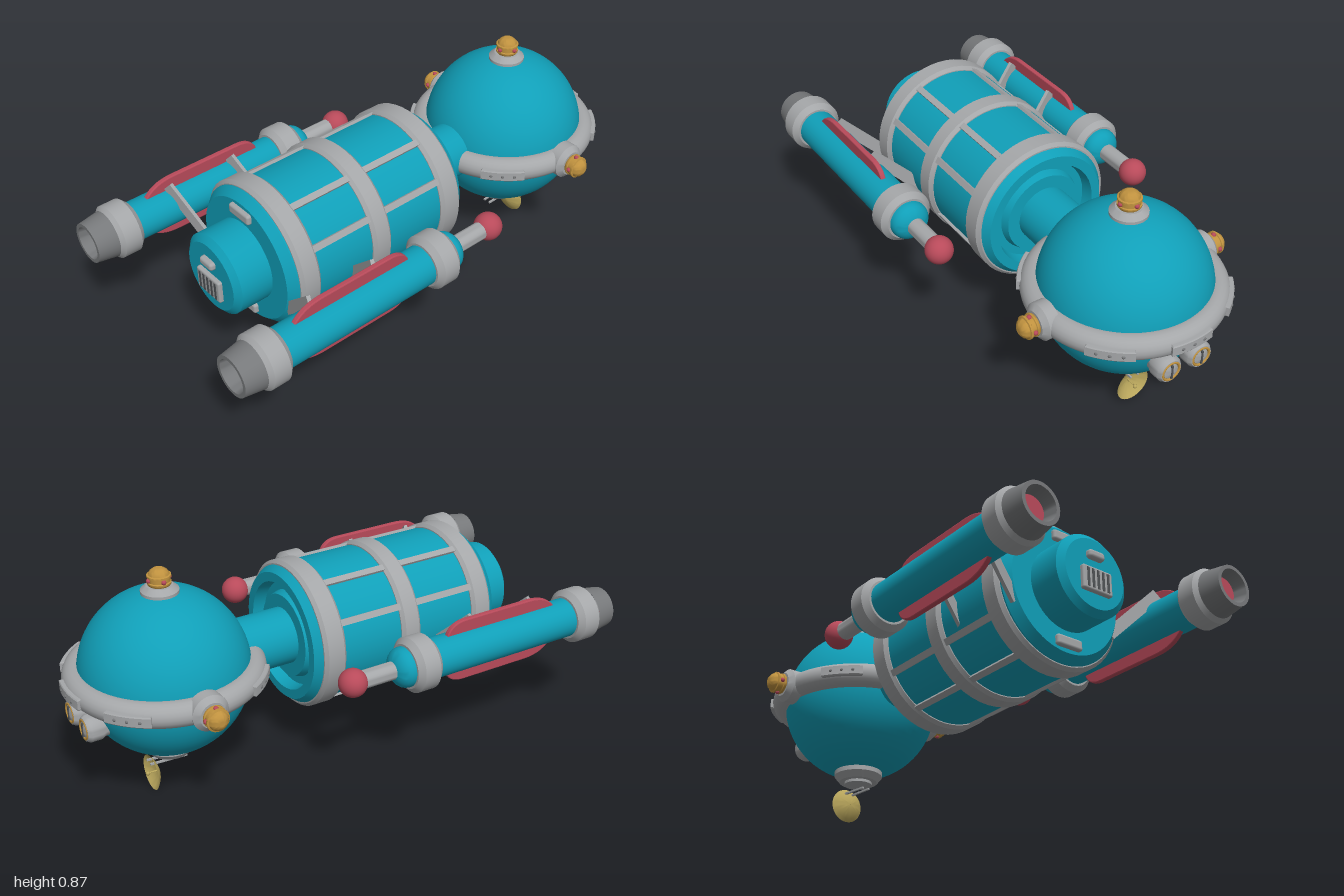
import * as THREE from 'three';
import { toCreasedNormals } from 'three/addons/utils/BufferGeometryUtils.js';
import { RoundedBoxGeometry } from 'three/addons/geometries/RoundedBoxGeometry.js';

const mat = (color, side = THREE.FrontSide) => new THREE.MeshStandardMaterial({ color, side });
const TEAL = mat(0x109fb8), GREY = mat(0xa5a7a9), DARK = mat(0x77797b), RED = mat(0xb84a5a);
const GOLD = mat(0xc0923f), BRASS = mat(0xb9a65c, THREE.DoubleSide), BLACK = mat(0x505356);
const CY = 0.478; // height of the main axis
const BALL_X = 0.63;

function add(parent, name, geometry, material, x = 0, y = 0, z = 0) {
  const mesh = new THREE.Mesh(geometry, material);
  mesh.name = name;
  mesh.position.set(x, y, z);
  parent.add(mesh);
  return mesh;
}

function group(parent, name, x = 0, y = 0, z = 0) {
  const g = new THREE.Group();
  g.name = name;
  g.position.set(x, y, z);
  parent.add(g);
  return g;
}

// Turned shape: [height, radius] pairs, rising along y
function turned(profile, segments = 48) {
  const pts = profile.map(([h, r]) => new THREE.Vector2(r, h));
  return toCreasedNormals(new THREE.LatheGeometry(pts, segments), 0.6);
}

// The same, lying along x
const turnedX = (profile, segments) => turned(profile, segments).rotateZ(-Math.PI / 2);

// Bevelled hoop around x
const hoop = (x0, x1, inner, outer, b = 0.012) => turnedX([
  [x0, inner], [x0, outer - b], [x0 + b, outer], [x1 - b, outer], [x1, outer - b], [x1, inner]]);

// Straight bar between two points
function bar(parent, name, a, b, width, height, material) {
  const p = new THREE.Vector3(...a), q = new THREE.Vector3(...b);
  const m = add(parent, name, new THREE.BoxGeometry(width, height, p.distanceTo(q)), material);
  m.position.copy(p).add(q).multiplyScalar(0.5);
  m.lookAt(q);
}

// Ribbed gold lamp on a grey flange, pointing along +y
function lamp(parent, name, x, y, z, tilt) {
  const g = group(parent, name, x, y, z);
  g.rotation.x = tilt;
  add(g, 'lampFlange', turned([[-0.06, 0.067], [-0.018, 0.067], [0, 0.047], [0, 0]], 32), GREY);
  add(g, 'lampBody', turned([[0, 0.038], [0.006, 0.042], [0.012, 0.042], [0.014, 0.038], [0.028, 0.038],
    [0.03, 0.042], [0.037, 0.042], [0.039, 0.036], [0.05, 0.031], [0.058, 0.021], [0.063, 0.01], [0.064, 0]], 32), GOLD);
  for (let i = 0; i < 4; i++) {
    const a = i * Math.PI / 2;
    add(g, 'lampJewel', new THREE.SphereGeometry(0.009, 12, 8), RED, Math.cos(a) * 0.038, 0.021, Math.sin(a) * 0.038);
  }
}

function buildCabin(root) {
  const g = group(root, 'cabin', BALL_X, CY, 0);
  add(g, 'cabinSphere', new THREE.SphereGeometry(0.305, 64, 40), TEAL);
  add(g, 'cabinRing', new THREE.TorusGeometry(0.31, 0.047, 20, 80).rotateX(Math.PI / 2), GREY);

  // Curved pads with three studs around the ring
  const h = 0.22, pad = new THREE.Shape();
  pad.absarc(0, 0, 0.364, -h, h, false);
  pad.absarc(0, 0, 0.33, h, -h, true);
  const padGeo = new THREE.ExtrudeGeometry(pad, {
    depth: 0.034, bevelThickness: 0.004, bevelSize: 0.003, bevelSegments: 1, curveSegments: 12,
  }).translate(0, 0, -0.017).rotateX(Math.PI / 2);
  for (const deg of [0, 45, 135, 225, 315]) {
    const p = group(g, 'ringPad');
    p.rotation.y = deg * Math.PI / 180;
    add(p, 'padPlate', padGeo, GREY);
    for (const a of [-0.12, 0, 0.12])
      add(p, 'padStud', new THREE.SphereGeometry(0.007, 10, 8), DARK, Math.cos(a) * 0.364, 0, Math.sin(a) * 0.364);
  }

  lamp(g, 'topLamp', 0, 0.326, 0, 0);
  lamp(g, 'leftLamp', 0, 0, 0.37, Math.PI / 2);
  lamp(g, 'rightLamp', 0, 0, -0.37, -Math.PI / 2);

  // Twin headlights
  for (const s of [-1, 1]) {
    const l = group(g, 'headlight', 0, -0.108, s * 0.063);
    add(l, 'headlightHousing', turnedX([[0.2, 0.035], [0.27, 0.042], [0.285, 0.049], [0.325, 0.049], [0.338, 0.041],
      [0.338, 0.036], [0.328, 0.034], [0.328, 0]], 32), GREY);
    add(l, 'headlightRim', new THREE.TorusGeometry(0.034, 0.005, 8, 32).rotateY(Math.PI / 2), GOLD, 0.336);
    add(l, 'headlightLens', turnedX([[0.325, 0.03], [0.337, 0.028], [0.341, 0.015], [0.342, 0]], 24), GREY);
    add(l, 'headlightSlit', new THREE.BoxGeometry(0.006, 0.055, 0.007), BLACK, 0.341);
  }
}

function buildDish(root) {
  const g = group(root, 'antenna', BALL_X, 0, 0);
  add(g, 'antennaCollar', turned([[0.135, 0], [0.135, 0.055], [0.146, 0.055], [0.146, 0.075], [0.17, 0.095],
    [0.19, 0.095], [0.2, 0]], 40), GREY);
  for (const s of [-1, 1]) {
    bar(g, 'antennaStrut', [-0.045, 0.147, s * 0.03], [0.05, 0.075, 0], 0.007, 0.007, GREY);
    bar(g, 'antennaStrut', [0.045, 0.147, s * 0.03], [0.055, 0.08, 0], 0.007, 0.007, GREY);
  }
  const dish = group(g, 'dish', 0.05, 0.07, 0);
  const curve = [0, 0.02, 0.04, 0.055, 0.067].map(r => [r * r * 6.5, r]);
  add(dish, 'dishBowl', turnedX(curve, 40), BRASS);
  add(dish, 'dishStem', turnedX([[0, 0.003], [0.04, 0.003]], 10), BRASS);
  add(dish, 'dishFeed', new THREE.SphereGeometry(0.008, 12, 8), BRASS, 0.043);
}

function buildBody(root) {
  const g = group(root, 'body', 0, CY, 0);
  // Main barrel with a grooved front face and a stepped rear
  add(g, 'barrel', turnedX([[-0.63, 0], [-0.63, 0.235], [-0.6, 0.262], [0.135, 0.262], [0.165, 0.24], [0.165, 0.205],
    [0.12, 0.195], [0.12, 0.165], [0.15, 0.155], [0.15, 0]], 64), TEAL);
  add(g, 'rearDrum', turnedX([[-0.775, 0], [-0.775, 0.13], [-0.755, 0.154], [-0.62, 0.154]], 48), TEAL);
  add(g, 'neck', turnedX([[0.14, 0.106], [0.37, 0.106]], 48), TEAL);
  for (const [a, b] of [[-0.595, -0.51], [-0.275, -0.193], [0.047, 0.137]])
    add(g, 'barrelBand', hoop(a, b, 0.255, 0.278), GREY);

  // Lengthwise ribs in pairs about each axis
  for (let i = 0; i < 4; i++) {
    for (const s of [-1, 1]) {
      const rib = group(g, 'barrelRib');
      rib.rotation.x = i * Math.PI / 2 + s * 28 * Math.PI / 180;
      add(rib, 'ribBar', new THREE.BoxGeometry(0.62, 0.02, 0.024), GREY, -0.23, 0.262, 0);
    }
  }

  // Rear grille and vents
  add(g, 'rearGrille', new RoundedBoxGeometry(0.03, 0.09, 0.13, 2, 0.008), GREY, -0.776, -0.03, 0);
  for (let i = -2; i <= 2; i++)
    add(g, 'grilleSlot', new THREE.BoxGeometry(0.006, 0.07, 0.01), BLACK, -0.79, -0.03, i * 0.022);
  add(g, 'rearVent', new RoundedBoxGeometry(0.04, 0.032, 0.07, 2, 0.012), GREY, -0.776, 0.065, 0);
  for (const s of [-1, 1])
    add(g, 'barrelVent', new RoundedBoxGeometry(0.03, 0.04, 0.11, 2, 0.01), GREY, -0.632, s * 0.2, 0);
}

function buildPod(root, side) {
  const g = group(root, side > 0 ? 'leftPod' : 'rightPod', 0, CY, side * 0.428);
  add(g, 'podTube', turnedX([[-0.84, 0.074], [-0.1, 0.074]], 40), TEAL);
  const dome = [[-0.1, 0.074]];
  for (let i = 0; i <= 8; i++) {
    const a = i / 8 * Math.PI / 2;
    dome.push([-0.085 + Math.sin(a) * 0.052, Math.cos(a) * 0.074]);
  }
  add(g, 'podNose', turnedX(dome, 40), TEAL);
  add(g, 'rearCollar', hoop(-0.925, -0.82, 0.06, 0.102, 0.02), GREY);
  add(g, 'frontCollar', hoop(-0.197, -0.093, 0.06, 0.102, 0.02), GREY);
  add(g, 'nozzle', turnedX([[-0.94, 0], [-0.94, 0.052], [-1, 0.062], [-1, 0.076], [-0.92, 0.088]], 40), DARK);
  add(g, 'nozzleCore', turnedX([[-0.955, 0], [-0.955, 0.05], [-0.94, 0.05]], 32), RED);
  add(g, 'noseRod', turnedX([[-0.045, 0.033], [0.09, 0.033]], 24), GREY);
  add(g, 'noseBall', new THREE.SphereGeometry(0.052, 32, 20), RED, 0.124);

  // Thin blade running through the tube, showing above and below
  const blade = new THREE.Shape();
  blade.moveTo(-0.76, -0.065).bezierCurveTo(-0.73, -0.105, -0.69, -0.121, -0.63, -0.121);
  blade.lineTo(-0.35, -0.121).bezierCurveTo(-0.3, -0.121, -0.275, -0.1, -0.265, -0.065);
  blade.lineTo(-0.265, 0.065).bezierCurveTo(-0.275, 0.1, -0.3, 0.121, -0.35, 0.121);
  blade.lineTo(-0.63, 0.121).bezierCurveTo(-0.69, 0.121, -0.73, 0.105, -0.76, 0.065);
  add(g, 'podFin', new THREE.ExtrudeGeometry(blade, {
    depth: 0.012, bevelThickness: 0.004, bevelSize: 0.004, bevelOffset: -0.004, bevelSegments: 2,
  }), RED, 0, 0, -0.006);

  // Slanted braces to the barrel
  for (const x of [-0.77, -0.5])
    bar(g, 'podBrace', [x, 0, side * -0.065], [x + 0.26, 0, side * -0.172], 0.014, 0.045, GREY);
}

export function createModel() {
  const root = new THREE.Group();
  root.name = 'spacecraft';
  buildCabin(root);
  buildDish(root);
  buildBody(root);
  for (const side of [-1, 1]) buildPod(root, side);
  return root;
}
